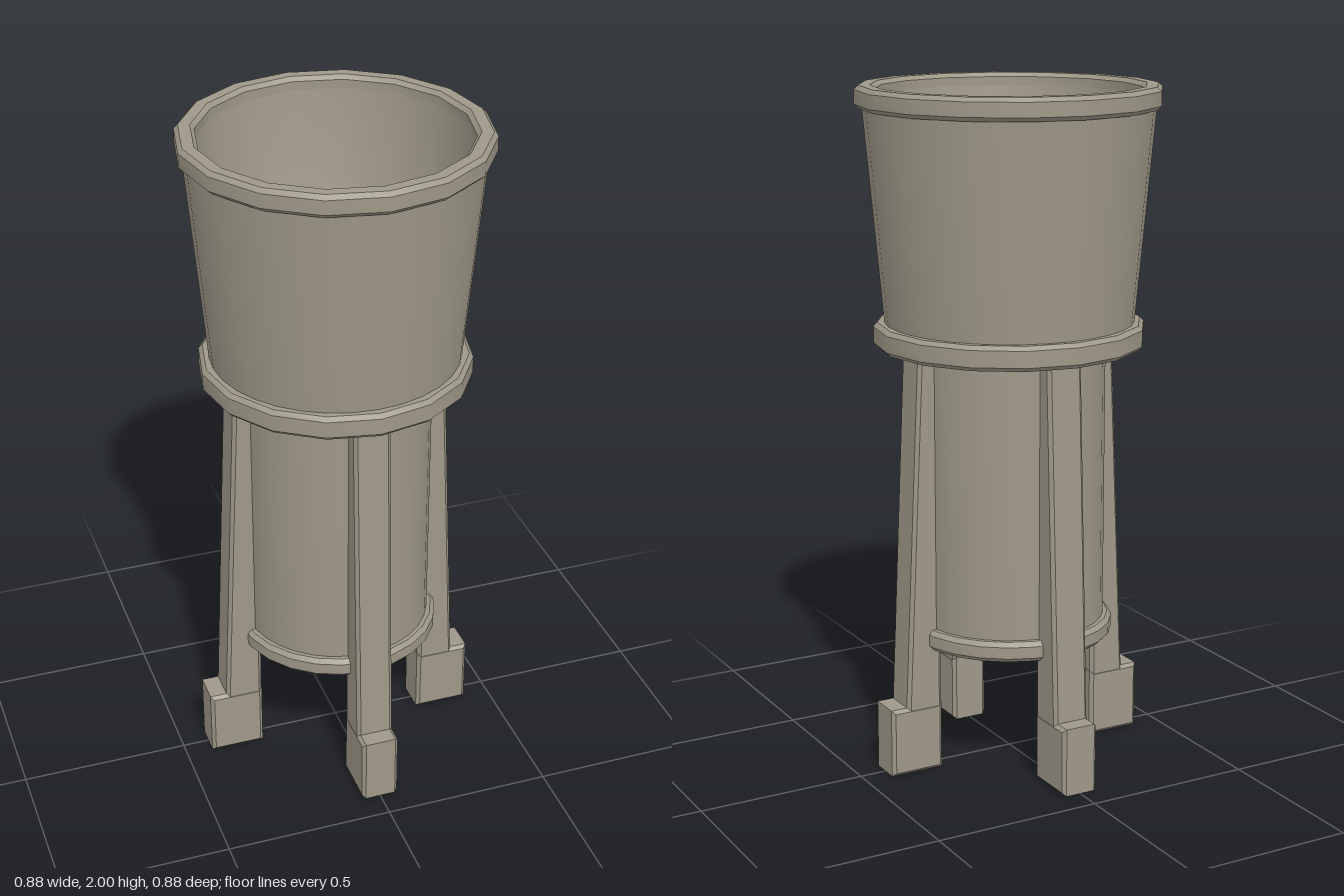
import * as THREE from 'three';
import { toCreasedNormals } from 'three/addons/utils/BufferGeometryUtils.js';

const stone = new THREE.MeshStandardMaterial({ color: 0x9e9888 });
stone.name = 'warm grey stone';

function addMesh(parent, name, geometry) {
  const mesh = new THREE.Mesh(toCreasedNormals(geometry, 0.6), stone);
  mesh.name = name;
  parent.add(mesh);
  return mesh;
}

// Revolved [radius, height] profile; upward points face outwards
const lathe = (points, sides) =>
  new THREE.LatheGeometry(points.map(([r, y]) => new THREE.Vector2(r, y)), sides);

// Bevelled band with a closed section
function band(inner, outer, y0, y1, sides, bevel = 0.012) {
  return lathe([
    [inner, y0], [outer - bevel, y0], [outer, y0 + bevel], [outer, y1 - bevel],
    [outer - bevel, y1], [inner + bevel, y1], [inner, y1 - bevel], [inner, y0],
  ], sides);
}

// Side profile extruded to a width, with softened edges
function slab(points, width, bevel = 0.01) {
  const shape = new THREE.Shape(points.map(([x, y]) => new THREE.Vector2(x, y)));
  const geometry = new THREE.ExtrudeGeometry(shape, {
    depth: width - 2 * bevel, bevelThickness: bevel, bevelSize: bevel,
    bevelOffset: -bevel, bevelSegments: 1,
  });
  return geometry.translate(0, 0, -width / 2 + bevel);
}

export function createModel() {
  const model = new THREE.Group();
  model.name = 'standingBasin';

  // Tapered bowl, its lining and the two heavy bands
  addMesh(model, 'bowlWall', lathe([[0.36, 1.29], [0.42, 1.96]], 32));
  addMesh(model, 'bowlLining', lathe([
    [0.385, 1.98], [0.315, 1.36], [0.3, 1.33], [0.275, 1.315], [0.25, 1.31], [0.232, 1.295],
  ], 16));
  addMesh(model, 'topRim', band(0.383, 0.44, 1.935, 2, 16));
  addMesh(model, 'middleBand', band(0.27, 0.395, 1.25, 1.322, 16));

  // Hollow lower cylinder with a closed base
  addMesh(model, 'lowerCylinder', lathe([[0.28, 0.39], [0.28, 1.29]], 32));
  addMesh(model, 'wellLining', lathe([[0.24, 1.305], [0.235, 1.28], [0.235, 0.42], [0, 0.42]], 24));
  addMesh(model, 'baseBand', lathe([
    [0, 0.375], [0.293, 0.375], [0.305, 0.388], [0.305, 0.422], [0.293, 0.435], [0.27, 0.435],
  ], 24));

  // Four tapering legs with block feet
  for (let i = 0; i < 4; i++) {
    const support = new THREE.Group();
    support.name = 'support' + (i + 1);
    support.rotation.y = i * Math.PI / 2;
    addMesh(support, 'leg', slab([[0.258, 0.1], [0.374, 0.1], [0.32, 1.28], [0.25, 1.28]], 0.11));
    addMesh(support, 'foot', slab([[0.256, 0], [0.42, 0], [0.42, 0.205], [0.256, 0.205]], 0.112));
    model.add(support);
  }
  return model;
}
